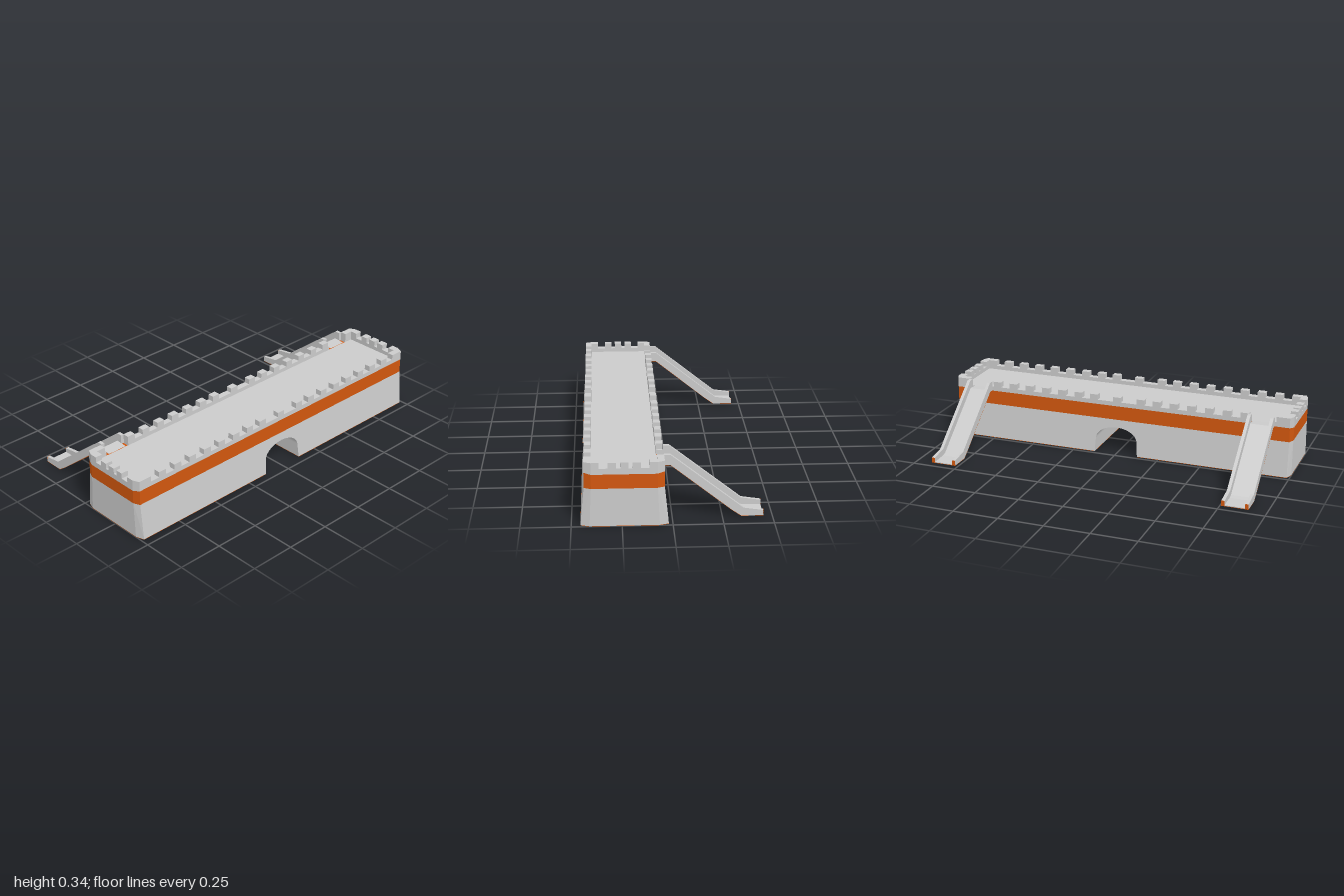
import * as THREE from 'three';
import { toCreasedNormals } from 'three/addons/utils/BufferGeometryUtils.js';
import { ConvexGeometry } from 'three/addons/geometries/ConvexGeometry.js';

const grey = new THREE.MeshStandardMaterial({ color: 0xcccccc });
const orange = new THREE.MeshStandardMaterial({ color: 0xd2570e });

const CX = 0.2375;                        // centre line of the wall
const HALF = 0.1975, END = 0.1625;        // half width at the sides and at the chamfered ends
const SHOULDER = 0.985, INNER_Z = 0.96;
const BAND_Y = 0.2, DECK_Y = 0.28, WALL_Y = 0.305, TOP_Y = 0.335;
const LIFT = 0.002;                       // thickness of the coloured undersides
const SLIDES = [[0.757, 0.902], [-0.91, -0.767]];

const makeShape = (pts) => new THREE.Shape(pts.map(([x, y]) => new THREE.Vector2(x, y)));

function add(parent, name, geometry, material = grey) {
  const mesh = new THREE.Mesh(geometry, material);
  mesh.name = name;
  parent.add(mesh);
  return mesh;
}

// Upright prism from a plan outline in [offset from centre line, z]
function prism(plan, y0, y1) {
  const geo = new THREE.ExtrudeGeometry(makeShape(plan.map(([u, z]) => [CX + u, -z])),
    { depth: y1 - y0, bevelEnabled: false });
  return geo.rotateX(-Math.PI / 2).translate(0, y0, 0);
}

// The seam at deck height dips slightly along both ends
function dipEnds(geo) {
  const p = geo.attributes.position;
  for (let i = 0; i < p.count; i++) {
    if (Math.abs(p.getZ(i)) > 0.99 && Math.abs(p.getY(i) - DECK_Y) < 1e-4) p.setY(i, 0.274);
  }
  geo.computeVertexNormals();
  return geo;
}

// Side profile in [x, y] extruded across z
function profile(pts, z0, z1) {
  return new THREE.ExtrudeGeometry(makeShape(pts), { depth: z1 - z0, bevelEnabled: false }).translate(0, 0, z0);
}

function box(x0, x1, y0, y1, z0, z1) {
  return new THREE.BoxGeometry(x1 - x0, y1 - y0, z1 - z0)
    .translate((x0 + x1) / 2, (y0 + y1) / 2, (z0 + z1) / 2);
}

function buildBase() {
  const base = new THREE.Group();
  base.name = 'base';

  // Arched body, battered outward toward the ground
  const s = new THREE.Shape();
  s.moveTo(-SHOULDER, LIFT);
  s.lineTo(-0.127, LIFT);
  s.lineTo(-0.122, 0.08);
  s.absellipse(0, 0.08, 0.122, 0.075, Math.PI, 0, true);
  s.lineTo(0.127, LIFT);
  s.lineTo(SHOULDER, LIFT);
  s.lineTo(SHOULDER, BAND_Y);
  s.lineTo(-SHOULDER, BAND_Y);
  const geo = new THREE.ExtrudeGeometry(s, { depth: 1, bevelEnabled: false, curveSegments: 16 });
  geo.rotateY(Math.PI / 2);
  const p = geo.attributes.position;
  for (let i = 0; i < p.count; i++) {
    const half = 0.2175 - 0.02 * p.getY(i) / BAND_Y;
    p.setX(i, CX + (2 * p.getX(i) - 1) * half);
  }
  add(base, 'archedBody', toCreasedNormals(geo, 0.5));

  for (const side of [-1, 1]) {
    // Chamfered end
    const pts = [];
    for (const u of [-1, 1]) {
      pts.push(
        new THREE.Vector3(CX + u * 0.2175, LIFT, side * SHOULDER),
        new THREE.Vector3(CX + u * HALF, BAND_Y, side * SHOULDER),
        new THREE.Vector3(CX + u * 0.1725, LIFT, side),
        new THREE.Vector3(CX + u * END, BAND_Y, side));
    }
    add(base, 'chamferedEnd', new ConvexGeometry(pts));
    // Coloured underside
    const plan = [[-0.2175, 0.127], [0.2175, 0.127], [0.2175, SHOULDER], [0.1725, 1], [-0.1725, 1], [-0.2175, SHOULDER]];
    add(base, 'underside', prism(plan.map(([u, z]) => [u, z * side]), 0, LIFT), orange);
  }
  return base;
}

function buildParapet() {
  const parapet = new THREE.Group();
  parapet.name = 'parapet';
  const IN = HALF - 0.035;
  const [front, back] = SLIDES;

  // Low wall, open on the right side where the slides start
  const wall = [
    [-HALF, front[1]], [-HALF, SHOULDER], [-END, 1], [END, 1], [HALF, SHOULDER],
    [HALF, -SHOULDER], [END, -1], [-END, -1], [-HALF, -SHOULDER], [-HALF, back[0]],
    [-IN, back[0]], [-IN, -INNER_Z], [IN, -INNER_Z], [IN, INNER_Z], [-IN, INNER_Z], [-IN, front[1]],
  ];
  add(parapet, 'lowWall', dipEnds(prism(wall, DECK_Y, WALL_Y)));
  add(parapet, 'lowWallBetweenSlides', box(CX - HALF, CX - IN, DECK_Y, WALL_Y, back[1], front[0]));

  // Corner merlons
  const corner = [[HALF, 0.91], [HALF, SHOULDER], [END, 1], [0.1225, 1], [0.1225, INNER_Z], [IN, INNER_Z], [IN, 0.91]];
  for (const sx of [-1, 1]) for (const sz of [-1, 1]) {
    add(parapet, 'cornerMerlon', prism(corner.map(([u, z]) => [u * sx, z * sz]), WALL_Y, TOP_Y));
  }

  // Side merlons
  for (const sx of [-1, 1]) {
    const x0 = sx < 0 ? CX - HALF : CX + IN;
    add(parapet, 'sideMerlon', box(x0, x0 + 0.035, WALL_Y, 0.332, -0.023, 0.023));
    for (const z of [0.138, 0.232, 0.332, 0.433, 0.534, 0.635, 0.735, 0.835]) {
      if (sx < 0 && z > 0.8) continue;
      for (const sz of [-1, 1]) {
        add(parapet, 'sideMerlon', box(x0, x0 + 0.035, WALL_Y, TOP_Y, sz * z - 0.023, sz * z + 0.023));
      }
    }
  }

  // End merlons
  for (const sz of [-1, 1]) for (const x of [0.176, 0.236, 0.297]) {
    add(parapet, 'endMerlon', box(x - 0.02, x + 0.02, WALL_Y, TOP_Y, sz * 0.98 - 0.02, sz * 0.98 + 0.02));
  }
  return parapet;
}

function buildSlide([z0, z1]) {
  const slide = new THREE.Group();
  slide.name = 'slide';
  const RAIL = 0.018;
  const under = [[-0.455, 0], [-0.345, 0], [-0.295, 0.035], [0.01, DECK_Y], [0.04, DECK_Y]];
  const lifted = under.map(([x, y]) => [x, y + LIFT]);
  const railTop = [[0.04, TOP_Y], [0.01, TOP_Y], [-0.355, 0.045], [-0.455, 0.03]];
  const tread = [[0.075, 0.286], [0.01, 0.29], [-0.335, 0.015], [-0.36, 0.009], [-0.455, 0.006]];

  add(slide, 'tread', profile([...lifted, ...tread], z0 + RAIL, z1 - RAIL));
  for (const z of [z0, z1 - RAIL]) {
    add(slide, 'rail', profile([...lifted, ...railTop], z, z + RAIL));
    add(slide, 'railEnd', box(-0.456, -0.454, 0, 0.03, z, z + RAIL), orange);
  }
  add(slide, 'underside', profile([...under, ...lifted.slice().reverse()], z0, z1), orange);
  return slide;
}

export function createModel() {
  const model = new THREE.Group();
  model.name = 'castleWall';
  model.add(buildBase());

  // Coloured band around the wall
  const plan = [[-HALF, SHOULDER], [-END, 1], [END, 1], [HALF, SHOULDER],
    [HALF, -SHOULDER], [END, -1], [-END, -1], [-HALF, -SHOULDER]];
  add(model, 'band', dipEnds(prism(plan, BAND_Y, DECK_Y)), orange);

  // Walkway
  add(model, 'deck', box(0.074, 0.401, 0.27, 0.283, -0.961, 0.961));
  model.add(buildParapet());
  for (const range of SLIDES) model.add(buildSlide(range));
  return model;
}
